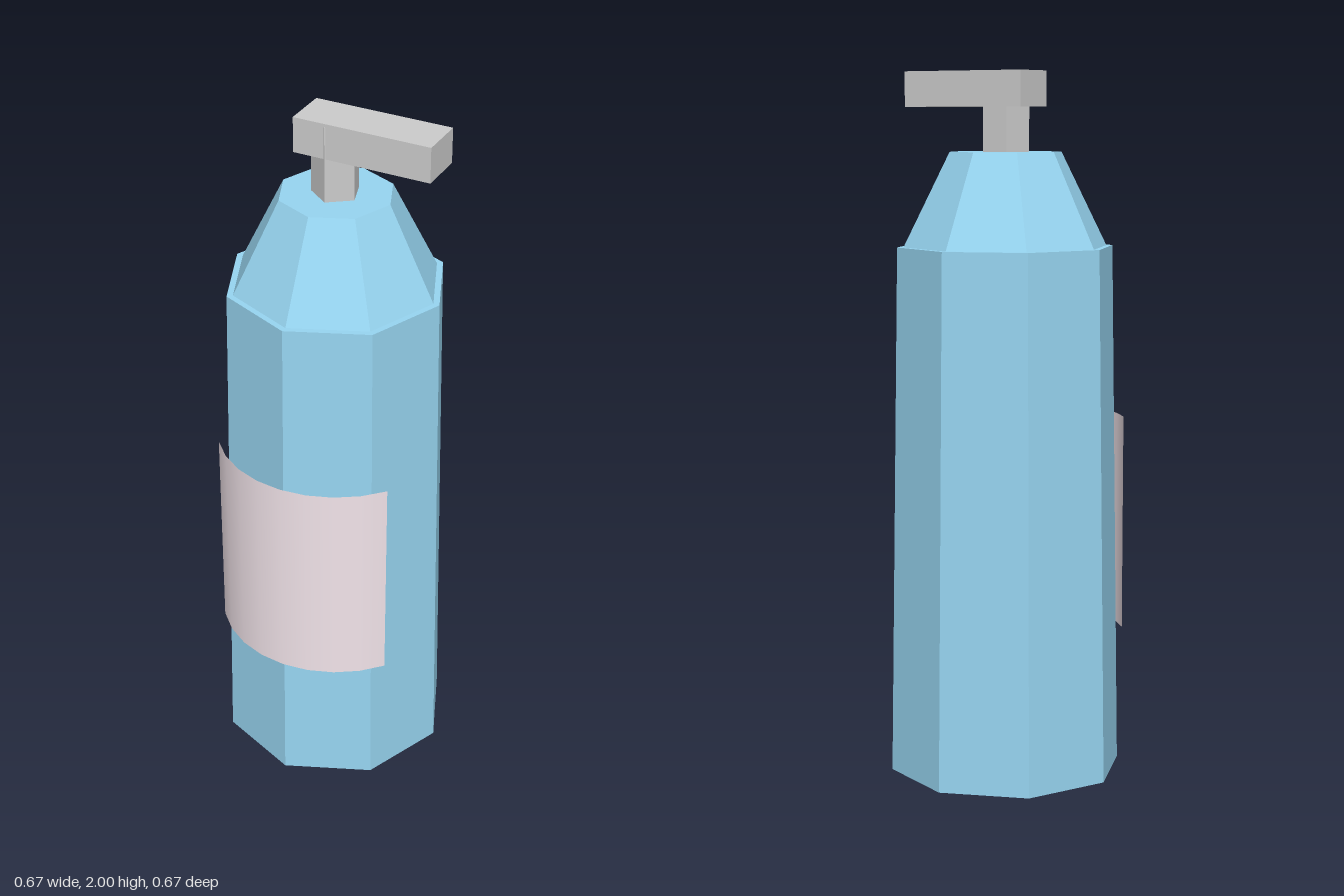
import * as THREE from 'three';

const blue = new THREE.MeshStandardMaterial({ color: 0x97d5f1, flatShading: true });
const grey = new THREE.MeshStandardMaterial({ color: 0xcccccc, flatShading: true });
const pink = new THREE.MeshStandardMaterial({ color: 0xf2e4ea, side: THREE.DoubleSide });

// Low-poly tapered prism standing between two heights, one corner facing +z
function prism(name, rTop, rBottom, y0, y1, sides, material) {
  const mesh = new THREE.Mesh(new THREE.CylinderGeometry(rTop, rBottom, y1 - y0, sides), material);
  mesh.name = name;
  mesh.position.y = (y0 + y1) / 2;
  return mesh;
}

export function createModel() {
  const model = new THREE.Group();
  model.name = 'pumpBottle';

  // Octagonal bottle with a sloped shoulder set in from the rim
  model.add(prism('body', 0.31, 0.335, 0, 1.51, 8, blue));
  model.add(prism('shoulder', 0.16, 0.292, 1.51, 1.775, 8, blue));

  // Five-sided pump stem, its front corner just breaking through the nozzle
  model.add(prism('stem', 0.068, 0.068, 1.775, 1.99, 5, grey));

  // Nozzle bar reaching out to the left
  const nozzle = new THREE.Mesh(new THREE.BoxGeometry(0.396, 0.1, 0.132), grey);
  nozzle.name = 'nozzle';
  nozzle.position.set(0.105, 1.95, 0);
  model.add(nozzle);

  // Thin curved label wrapped around the front
  const label = new THREE.Mesh(
    new THREE.CylinderGeometry(0.339, 0.339, 0.62, 8, 1, true, -0.9, 1.8), pink);
  label.name = 'label';
  label.position.y = 0.71;
  model.add(label);

  return model;
}
